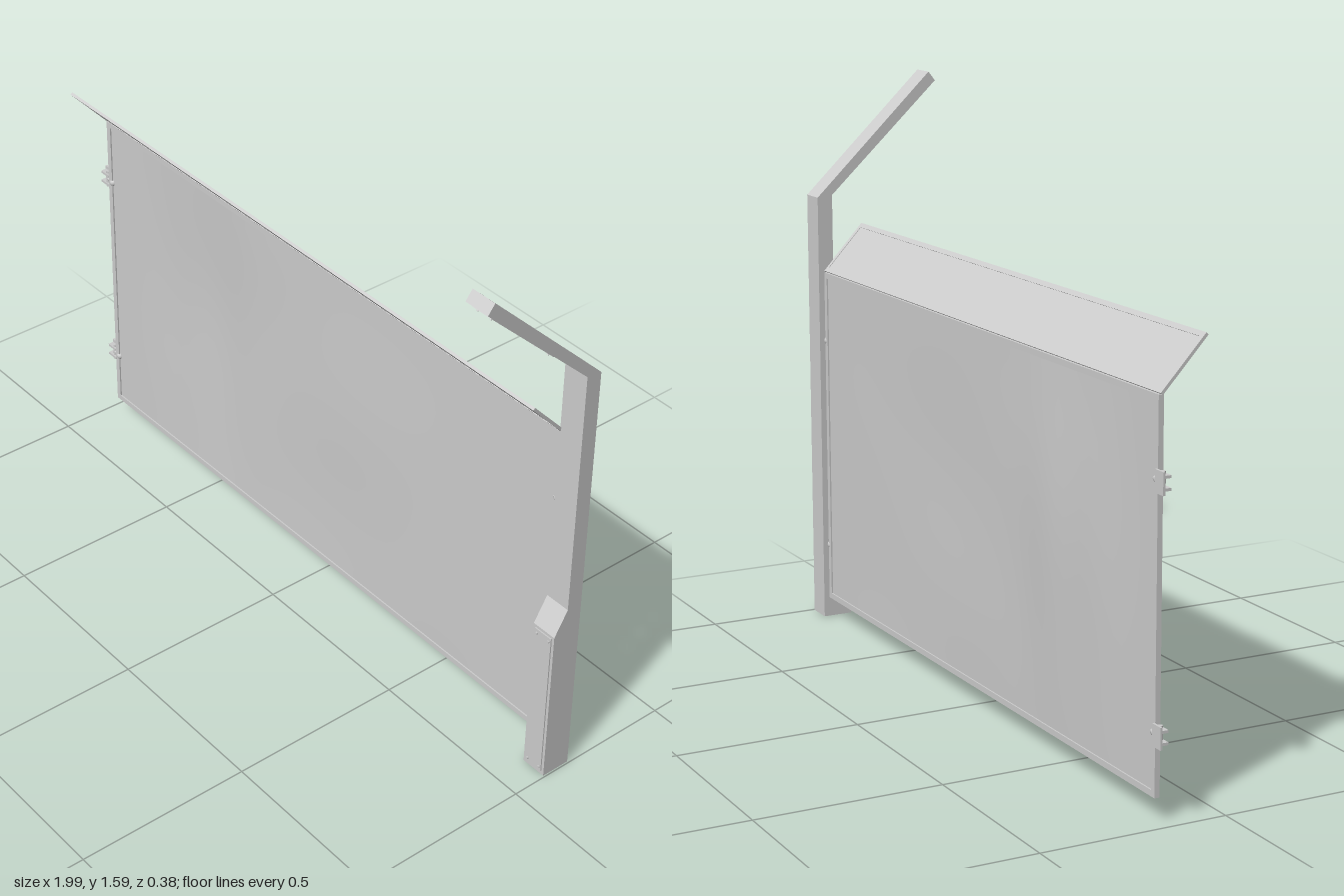
import * as THREE from 'three';

const metal = new THREE.MeshStandardMaterial({ color: 0xcccccc });
metal.name = 'light grey metal';

function add(parent, name, geometry, x = 0, y = 0, z = 0) {
  const mesh = new THREE.Mesh(geometry, metal);
  mesh.name = name;
  mesh.position.set(x, y, z);
  parent.add(mesh);
  return mesh;
}

function group(parent, name, x = 0, y = 0, z = 0) {
  const g = new THREE.Group();
  g.name = name;
  g.position.set(x, y, z);
  parent.add(g);
  return g;
}

const box = (w, h, d) => new THREE.BoxGeometry(w, h, d);

// Short bolt head pointing along +z
function bolt(parent, x, y, z, r = 0.004) {
  const b = add(parent, 'bolt', new THREE.CylinderGeometry(r, r, 0.005, 10), x, y, z);
  b.rotation.x = Math.PI / 2;
}

// Four border strips round a w by h rectangle
function border(parent, w, h, strip, depth) {
  for (const s of [-1, 1]) {
    add(parent, 'rimSide', box(strip, h, depth), s * (w - strip) / 2, 0, 0);
    add(parent, 'rimEdge', box(w - 2 * strip, strip, depth), 0, s * (h - strip) / 2, 0);
  }
}

function buildPost(root) {
  const post = group(root, 'post');
  // Side profile in (z, y), pushed out across the width of the post
  const profile = [[-0.185, 0], [-0.1, 0], [-0.1, 0.47], [-0.14, 0.54], [-0.14, 1.25],
    [0.19, 1.562], [0.17, 1.588], [-0.185, 1.245]];
  const shape = new THREE.Shape(profile.map(([z, y]) => new THREE.Vector2(-z, y)));
  const body = new THREE.ExtrudeGeometry(shape, { depth: 0.074, bevelEnabled: false });
  body.rotateY(Math.PI / 2);
  add(post, 'postBody', body, 0.921);

  // Screwed cover on the thick foot
  add(post, 'footCover', box(0.058, 0.45, 0.005), 0.958, 0.237, -0.099);
  for (const x of [0.937, 0.979]) for (const y of [0.024, 0.45]) bolt(post, x, y, -0.095);

  // Thin cover under the sloping arm
  const arm = group(post, 'armUnderside', 0.958, 1.45, 0.0715);
  arm.rotation.x = Math.atan2(0.33, 0.312);
  add(arm, 'armCover', box(0.062, 0.28, 0.003));
  for (const x of [-0.022, 0.022]) for (const y of [-0.128, 0.128]) bolt(arm, x, y, 0.002, 0.003);
}

function buildPanel(root) {
  const w = 1.87, h = 0.97;
  const panel = group(root, 'panel', -0.025, 0.545, -0.166);
  border(panel, w, h, 0.016, 0.014);

  // Slightly dented sheet, flat where it meets the rim
  for (const side of [1, -1]) {
    const sheet = new THREE.PlaneGeometry(w - 0.02, h - 0.02, 48, 24);
    const p = sheet.attributes.position;
    for (let i = 0; i < p.count; i++) {
      const x = p.getX(i), y = p.getY(i);
      const fade = Math.cos(Math.PI * x / (w - 0.02)) * Math.cos(Math.PI * y / (h - 0.02));
      const dents = Math.exp(-(((x + 0.66) / 0.13) ** 2)) * 0.016
        + Math.exp(-(((x + 0.44) / 0.12) ** 2)) * 0.014;
      const wave = 0.003 * Math.sin(5 * x + 3 * y) + 0.002 * Math.cos(7 * y - 4 * x);
      p.setZ(i, fade * (wave - dents) + side * 0.003);
    }
    if (side < 0) sheet.setIndex([...sheet.index.array].reverse());
    sheet.computeVertexNormals();
    add(panel, side > 0 ? 'sheetFront' : 'sheetBack', sheet);
  }
}

function buildFlap(root) {
  // Sloping flap leaning forward from the top edge
  const len = Math.hypot(0.12, 0.13);
  const flap = group(root, 'flap', -0.018, 1.095, -0.105);
  flap.rotation.x = Math.atan2(0.12, 0.13);
  add(flap, 'flapSheet', box(1.87, len - 0.01, 0.005));
  border(flap, 1.884, len, 0.014, 0.008);
}

function buildFittings(root) {
  for (const y of [0.22, 0.83]) {
    // Outer hinge: two-leaf bracket, pin and eye
    const hinge = group(root, 'outerHinge', -0.98, y, -0.17);
    add(hinge, 'hingePlate', box(0.038, 0.056, 0.006), 0, 0, -0.009);
    for (const s of [-1, 1]) add(hinge, 'hingeLeaf', box(0.036, 0.007, 0.022), 0.001, s * 0.015, 0);
    add(hinge, 'hingePin', new THREE.CylinderGeometry(0.006, 0.006, 0.05, 12), 0.005, 0, 0.002);
    const rod = add(hinge, 'hingeRod', new THREE.CylinderGeometry(0.006, 0.006, 0.04, 12), 0.022, 0, 0.002);
    rod.rotation.z = Math.PI / 2;
    add(hinge, 'hingeNut', new THREE.SphereGeometry(0.011, 12, 8), 0.032, 0, 0.004);

    // Inner stud joining the panel to the post
    const stud = group(root, 'postStud', 0.912, y, -0.165);
    const pin = add(stud, 'studPin', new THREE.CylinderGeometry(0.007, 0.007, 0.03, 12));
    pin.rotation.z = Math.PI / 2;
    add(stud, 'studNut', new THREE.SphereGeometry(0.012, 12, 8), -0.002, 0, 0.001);
  }
}

export function createModel() {
  const model = new THREE.Group();
  model.name = 'gatePanelWithPost';
  buildPost(model);
  buildPanel(model);
  buildFlap(model);
  buildFittings(model);
  return model;
}
